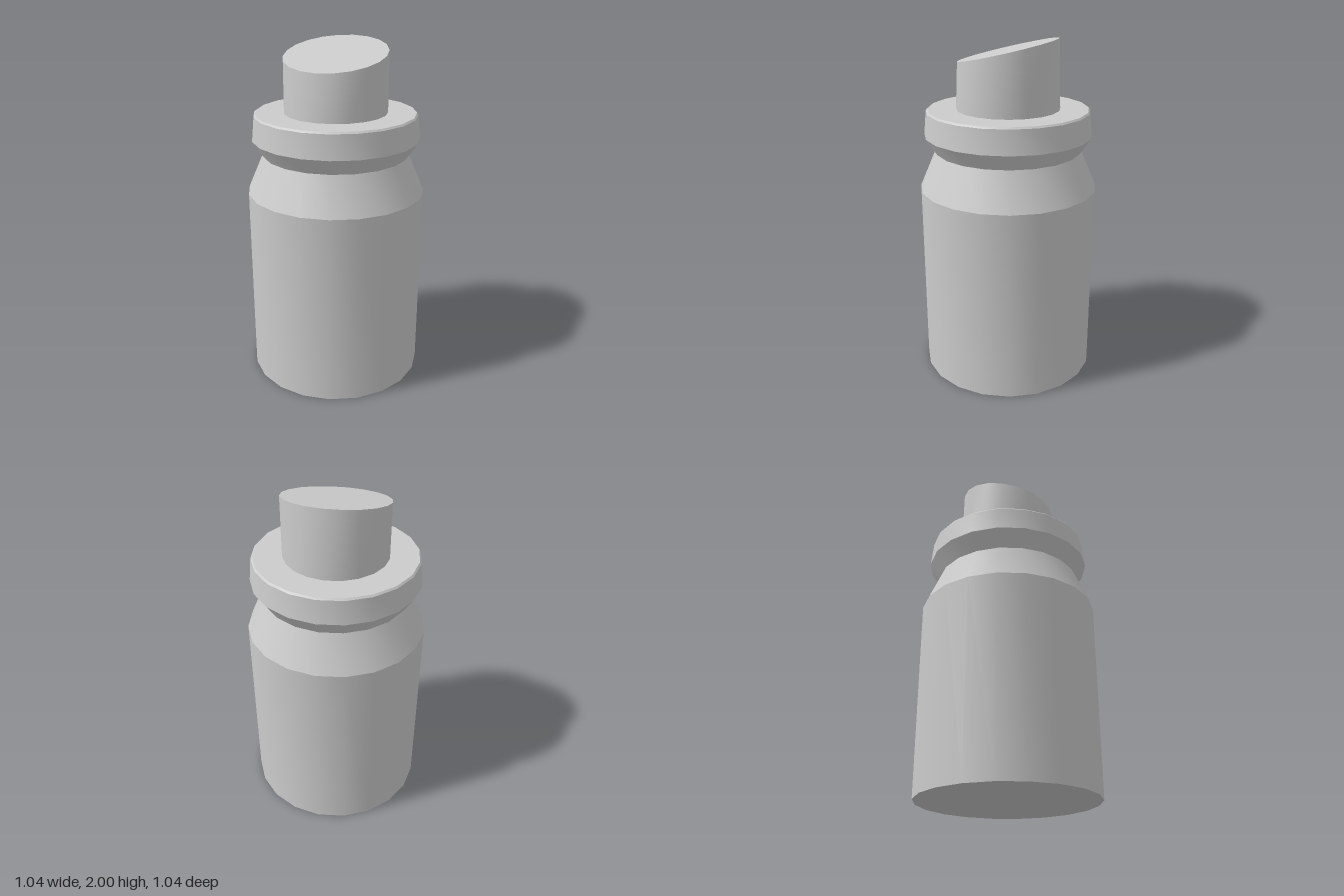
import * as THREE from 'three';
import { toCreasedNormals } from 'three/addons/utils/BufferGeometryUtils.js';

const SIDES = 20;
const CREASE = THREE.MathUtils.degToRad(21);

export function createModel() {
  const model = new THREE.Group();
  model.name = 'bottle';
  const material = new THREE.MeshStandardMaterial({ color: 0xcccccc });

  const addPart = (name, geometry) => {
    const mesh = new THREE.Mesh(toCreasedNormals(geometry, CREASE), material);
    mesh.name = name;
    model.add(mesh);
  };
  const turned = (profile) =>
    new THREE.LatheGeometry(profile.map(([r, y]) => new THREE.Vector2(r, y)), SIDES);

  // Straight body with a closed base and a sloping shoulder
  addPart('body', turned([[0, 0], [0.52, 0], [0.52, 1.14], [0.425, 1.36]]));

  // Flared collar with a softened upper rim
  addPart('collar', turned([
    [0.425, 1.36], [0.488, 1.455], [0.474, 1.593], [0.465, 1.603], [0, 1.603],
  ]));

  // Nozzle, cut at a slant that rises towards the back
  const nozzle = new THREE.CylinderGeometry(0.3, 0.3, 0.4, SIDES);
  const pos = nozzle.attributes.position;
  for (let i = 0; i < pos.count; i++) {
    if (pos.getY(i) > 0) {
      const z = pos.getZ(i) * 0.953;
      pos.setZ(i, z);
      pos.setY(i, 1.933 - z * 0.235);
    } else {
      pos.setY(i, 1.6);
    }
  }
  addPart('nozzle', nozzle);

  return model;
}
